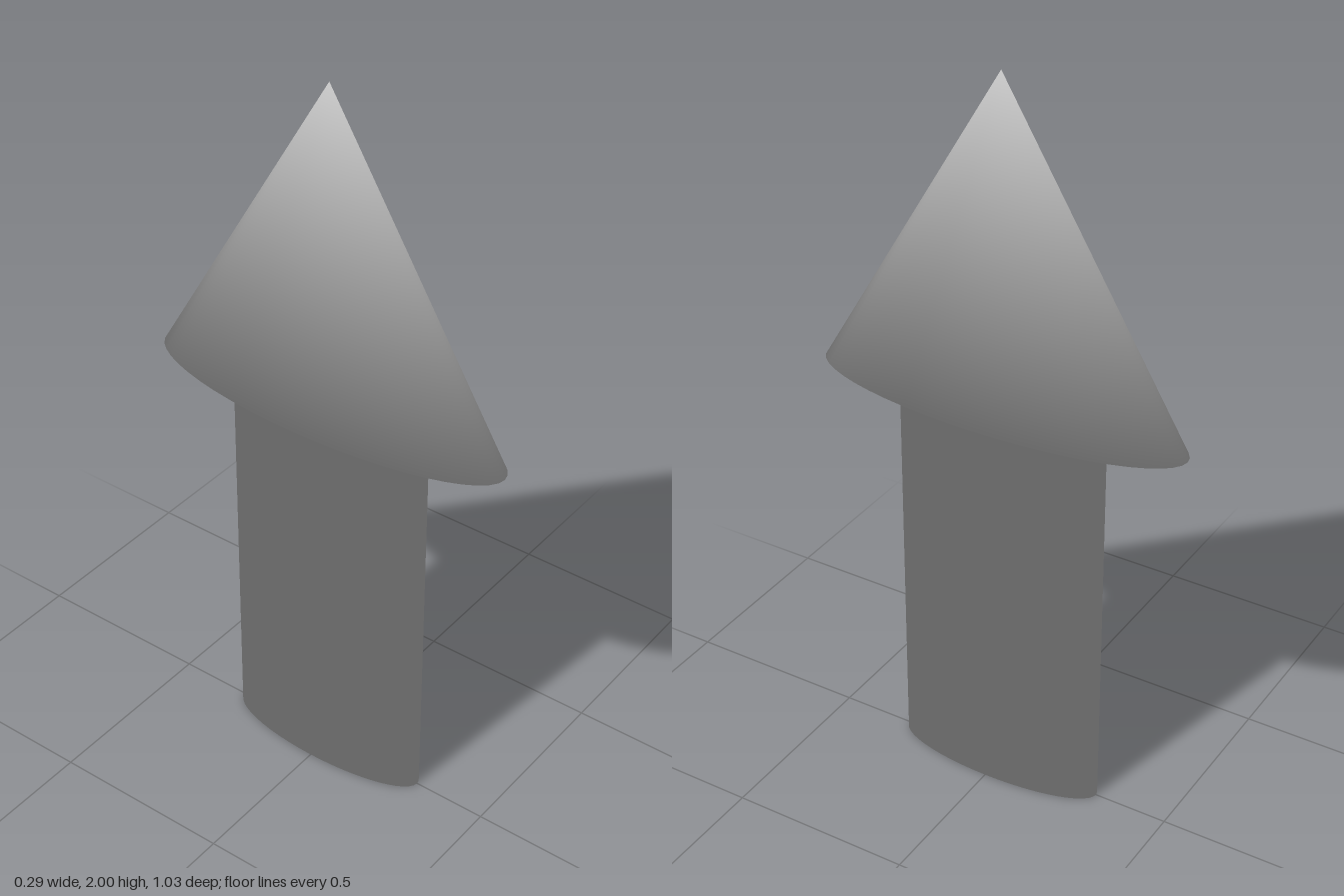
import * as THREE from 'three';

const SEGMENTS = 48;
const FLATTEN = 0.285; // width in x relative to depth in z

// Half outline from the bottom centre up to the tip: [radius, height]
const PROFILE = [
  [0, 0],        // centre of the foot
  [0.295, 0],    // foot rim
  [0.295, 1.12], // top of the shaft
  [0.516, 1.12], // rim of the head
  [0, 2],        // tip
].map(([r, y]) => new THREE.Vector2(r, y));

// Unit normal of the band above profile point j, at angle phi
function bandNormal(j, phi) {
  const d = PROFILE[j + 1].clone().sub(PROFILE[j]);
  return new THREE.Vector3(d.y * Math.sin(phi) / FLATTEN, -d.x, d.y * Math.cos(phi)).normalize();
}

// Soft normals: the two bands meeting at a ring share equally, the poles are vertical
function ringNormal(j, phi) {
  if (j === 0) return new THREE.Vector3(0, -1, 0);
  if (j === PROFILE.length - 1) return new THREE.Vector3(0, 1, 0);
  return bandNormal(j - 1, phi).add(bandNormal(j, phi)).normalize();
}

export function createModel() {
  const group = new THREE.Group();
  group.name = 'arrow';

  // One continuous oval body: foot, shaft, underside of the head and cone
  const geometry = new THREE.LatheGeometry(PROFILE, SEGMENTS);
  geometry.scale(FLATTEN, 1, 1);
  const normals = geometry.attributes.normal;
  for (let i = 0; i < normals.count; i++) {
    const phi = Math.floor(i / PROFILE.length) * Math.PI * 2 / SEGMENTS;
    const n = ringNormal(i % PROFILE.length, phi);
    normals.setXYZ(i, n.x, n.y, n.z);
  }

  const body = new THREE.Mesh(geometry, new THREE.MeshStandardMaterial({ color: 0xcccccc }));
  body.name = 'shaftAndHead';
  group.add(body);
  return group;
}
